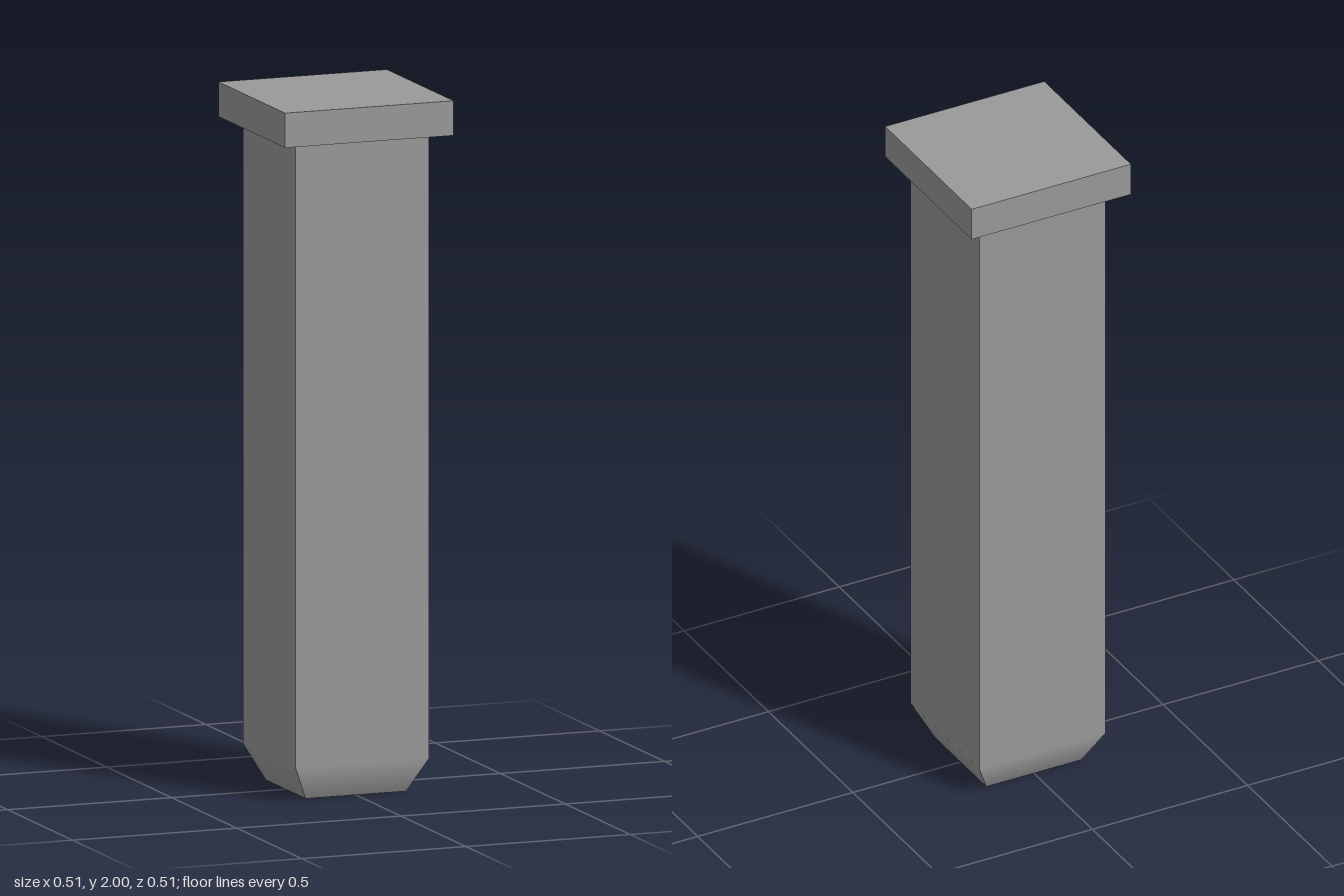
import * as THREE from 'three';

const CAP = 0.513;       // cap width
const CAP_H = 0.1;       // cap thickness
const HALF = 0.203;      // shaft half width
const TIP = 0.153;       // half width at the foot
const TAPER_H = 0.1;     // height of the tapered foot

// One side of the shaft: flat panel that turns softly into the taper
function sidePanel() {
  const flat = new THREE.Vector3(0, 0, 1);
  const sloped = new THREE.Vector3(0, TIP - HALF, TAPER_H).normalize();
  const rows = [[2 - CAP_H, HALF, flat], [TAPER_H, HALF, flat], [0, TIP, sloped]]; // y, half width, normal
  const geo = new THREE.PlaneGeometry(2, 1, 1, 2);
  const { position, normal } = geo.attributes;
  for (let i = 0; i < position.count; i++) {
    const [y, half, n] = rows[Math.floor(i / 2)];
    position.setXYZ(i, Math.sign(position.getX(i)) * half, y, half);
    normal.setXYZ(i, n.x, n.y, n.z);
  }
  return geo;
}

export function createModel() {
  const model = new THREE.Group();
  model.name = 'squarePeg';
  const material = new THREE.MeshStandardMaterial({ color: 0x9a9a9a });

  const add = (name, geo, parent = model) => {
    const mesh = new THREE.Mesh(geo, material);
    mesh.name = name;
    parent.add(mesh);
    return mesh;
  };

  // Cap
  add('cap', new THREE.BoxGeometry(CAP, CAP_H, CAP)).position.y = 2 - CAP_H / 2;

  // Shaft: four matching sides and the foot underneath
  const shaft = new THREE.Group();
  shaft.name = 'shaft';
  model.add(shaft);
  const panel = sidePanel();
  ['front', 'left', 'back', 'right'].forEach((side, i) => {
    add(`${side}Side`, panel, shaft).rotation.y = i * Math.PI / 2;
  });
  add('foot', new THREE.PlaneGeometry(TIP * 2, TIP * 2), shaft).rotation.x = Math.PI / 2;

  return model;
}
